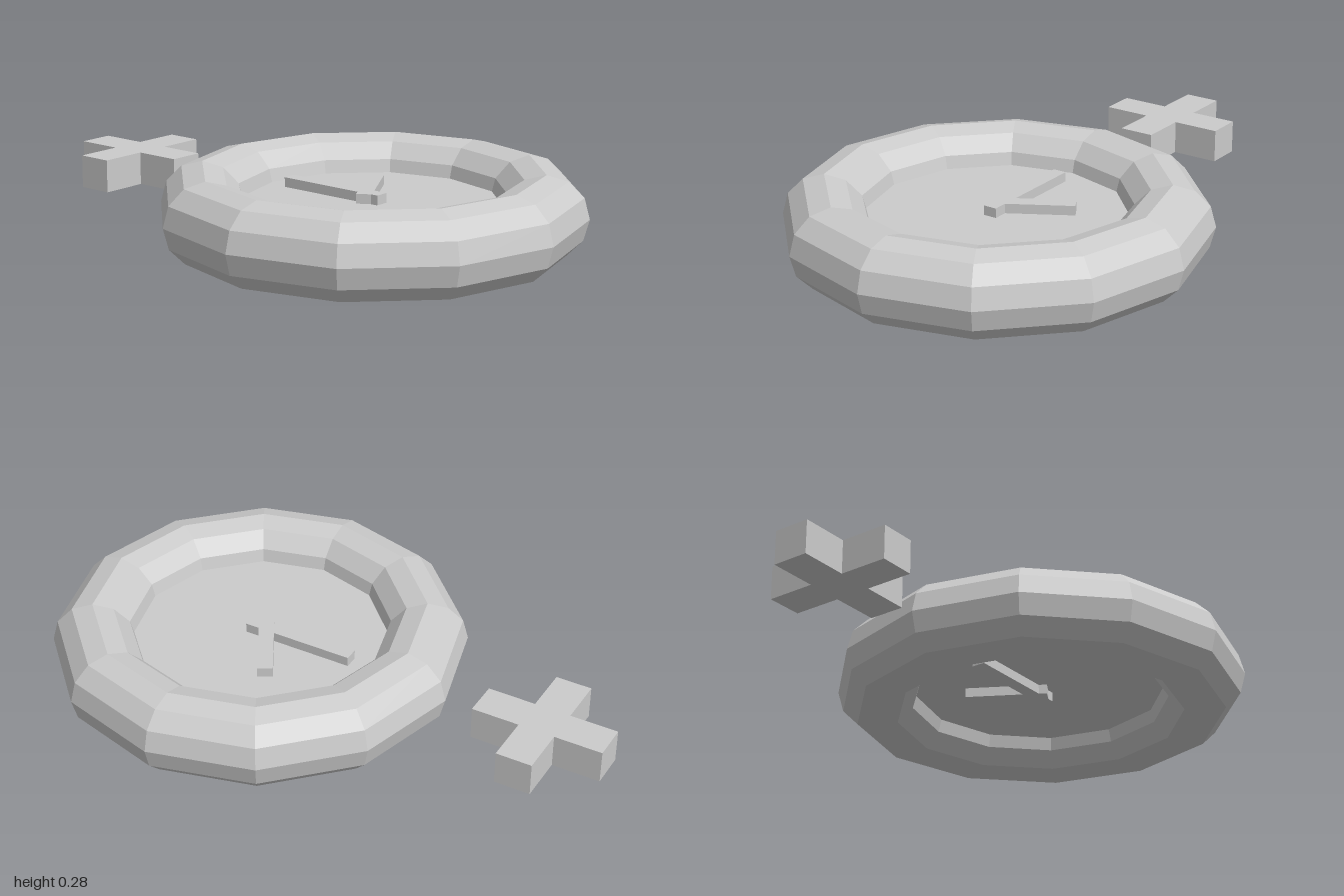
import * as THREE from 'three';

export function createModel() {
  const model = new THREE.Group();
  const material = new THREE.MeshStandardMaterial({ color: 0xcccccc, flatShading: true });
  const midY = 0.142, ringX = 0.291;

  const add = (name, geometry, x, z) => {
    const mesh = new THREE.Mesh(geometry, material);
    mesh.name = name;
    mesh.position.set(x, midY, z);
    model.add(mesh);
    return mesh;
  };

  // Faceted ring lying flat
  add('ring', new THREE.TorusGeometry(0.567, 0.142, 12, 12).rotateX(Math.PI / 2), ringX, 0);

  // Disc filling the ring, its rim buried in the tube
  add('disc', new THREE.CylinderGeometry(0.454, 0.454, 0.054, 24), ringX, 0);

  // Two bars passing through the disc
  add('longBar', new THREE.BoxGeometry(0.397, 0.12, 0.048), 0.135, 0);
  add('shortBar', new THREE.BoxGeometry(0.283, 0.12, 0.052), 0.217, -0.087).rotation.y = -Math.PI / 3;

  // Plus-shaped block beside the ring
  const a = 0.0622, b = 0.228, height = 0.115;
  const plus = new THREE.Shape();
  for (let i = 0; i < 4; i++) {
    const c = Math.round(Math.cos(i * Math.PI / 2)), s = Math.round(Math.sin(i * Math.PI / 2));
    for (const [x, y] of [[b, -a], [b, a], [a, a]]) {
      const px = x * c - y * s, py = x * s + y * c;
      if (plus.curves.length || !plus.currentPoint.equals({ x: 0, y: 0 })) plus.lineTo(px, py);
      else plus.moveTo(px, py);
    }
  }
  plus.closePath();
  const plusGeometry = new THREE.ExtrudeGeometry(plus, { depth: height, bevelEnabled: false });
  plusGeometry.translate(0, 0, -height / 2).rotateX(-Math.PI / 2);
  add('plusBlock', plusGeometry, -0.772, 0);

  return model;
}
